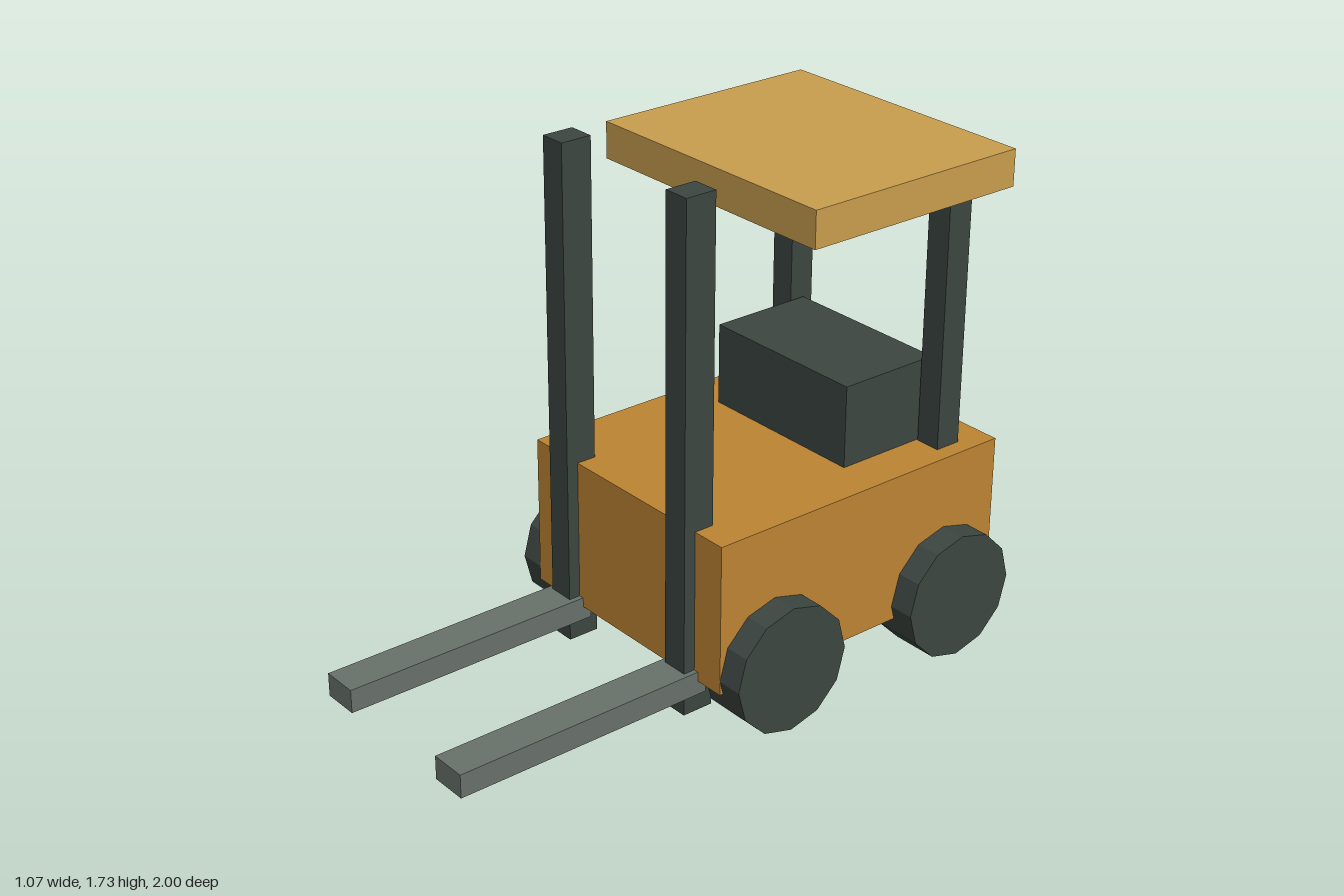
import * as THREE from 'three';

export function createModel() {
  const model = new THREE.Group();
  model.name = 'forklift';

  const material = (name, color) => {
    const m = new THREE.MeshStandardMaterial({ color });
    m.name = name;
    return m;
  };
  const orange = material('body orange', 0xbd8433);
  const yellow = material('roof yellow', 0xc99e4e);
  const dark = material('dark grey', 0x3c4641);
  const steel = material('fork steel', 0x68716b);

  // Box given by its lower and upper limits on each axis
  const box = (name, mat, [x0, x1], [y0, y1], [z0, z1]) => {
    const mesh = new THREE.Mesh(new THREE.BoxGeometry(x1 - x0, y1 - y0, z1 - z0), mat);
    mesh.position.set((x0 + x1) / 2, (y0 + y1) / 2, (z0 + z1) / 2);
    mesh.name = name;
    model.add(mesh);
  };

  box('body', orange, [-0.45, 0.45], [0.165, 0.67], [-1, 0.13]);
  box('seat', dark, [-0.3, 0.3], [0.67, 0.945], [-0.85, -0.49]);
  box('roof', yellow, [-0.478, 0.478], [1.53, 1.65], [-0.975, -0.178]);

  // Twelve-sided wheel lying along x; faceted normals
  const wheelGeometry = new THREE.CylinderGeometry(0.213, 0.213, 0.16, 12).rotateZ(Math.PI / 2)
    .toNonIndexed();
  wheelGeometry.computeVertexNormals();

  for (const side of [-1, 1]) {
    const label = side > 0 ? 'left' : 'right';
    const span = (a, b) => (side > 0 ? [a, b] : [-b, -a]);

    box(label + 'RoofPost', dark, span(0.305, 0.393), [0.67, 1.53], [-0.89, -0.8]);
    box(label + 'Mast', dark, span(0.24, 0.33), [0.05, 1.725], [0.063, 0.17]);
    box(label + 'Fork', steel, span(0.222, 0.347), [0.118, 0.197], [0.1, 1]);

    for (const [end, z] of [['Front', -0.083], ['Rear', -0.787]]) {
      const wheel = new THREE.Mesh(wheelGeometry, dark);
      wheel.position.set(side * 0.456, 0.213, z);
      wheel.name = label + end + 'Wheel';
      model.add(wheel);
    }
  }
  return model;
}
